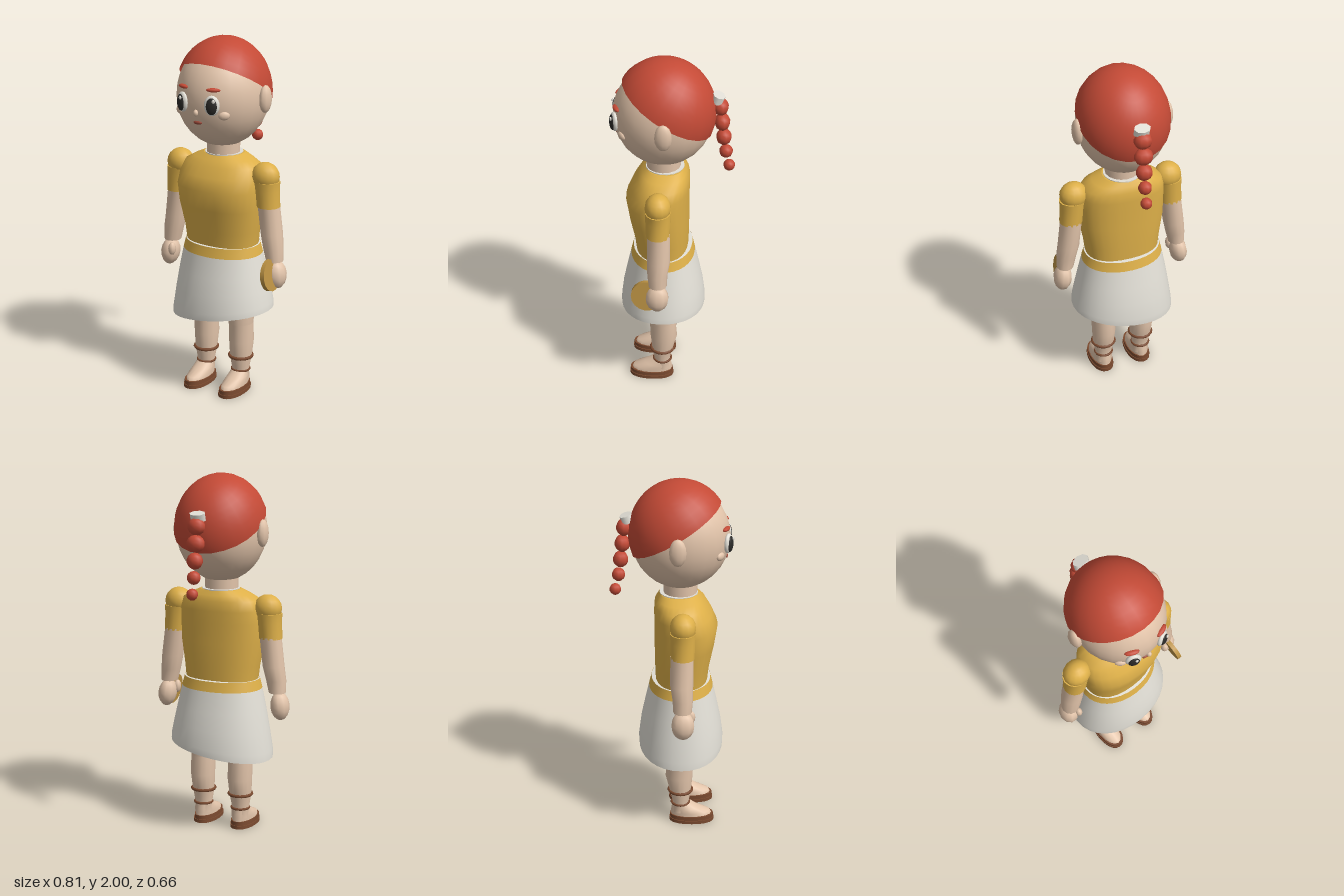
import * as THREE from 'three';

const mat = (name, color, side = THREE.FrontSide) => {
  const m = new THREE.MeshStandardMaterial({ color, side });
  m.name = name;
  return m;
};

// Lofted body: rows rise in y as [y, cx, cz, rx, rz]; slant(x, y) shifts y.
function loft(rows, { n = 20, power = 2, caps = true, slant = null } = {}) {
  const pos = [], idx = [];
  const sp = v => Math.sign(v) * Math.pow(Math.abs(v), 2 / power);
  const ring = ([y, cx, cz, rx, rz]) => {
    for (let j = 0; j < n; j++) {
      const a = (j / n) * Math.PI * 2;
      const x = cx + rx * sp(Math.cos(a));
      pos.push(x, slant ? y + slant(x, y) : y, cz + rz * sp(Math.sin(a)));
    }
  };
  rows.forEach(ring);
  for (let i = 0; i < rows.length - 1; i++) {
    for (let j = 0; j < n; j++) {
      const k = (j + 1) % n, a = i * n + j, b = i * n + k;
      idx.push(a, a + n, b, b, a + n, b + n);
    }
  }
  if (caps) {
    [rows[0], rows[rows.length - 1]].forEach((r, top) => {
      const s = pos.length / 3;
      ring(r);
      pos.push(r[1], r[0], r[2]);
      for (let j = 0; j < n; j++) {
        const k = (j + 1) % n;
        if (top) idx.push(s + n, s + k, s + j);
        else idx.push(s + n, s + j, s + k);
      }
    });
  }
  const g = new THREE.BufferGeometry();
  g.setAttribute('position', new THREE.Float32BufferAttribute(pos, 3));
  g.setIndex(idx);
  g.computeVertexNormals();
  return g;
}

export function createModel() {
  const model = new THREE.Group();
  model.name = 'girlFigure';
  const skin = mat('skin', 0xe2c4aa);
  const hair = mat('red hair', 0xc44a36, THREE.DoubleSide);
  const yellow = mat('yellow cloth', 0xdeb049, THREE.DoubleSide);
  const white = mat('white cloth', 0xe2dfd6, THREE.DoubleSide);
  const brown = mat('brown leather', 0x7c4b30);
  const gold = mat('dull gold', 0xbd9344);
  const dark = mat('dark iris', 0x2b2a28);
  const lip = mat('lip', 0x9a4a3a);

  const add = (name, geo, m, p = [0, 0, 0], r = [0, 0, 0], parent = model) => {
    const o = new THREE.Mesh(geo, m);
    o.name = name;
    o.position.set(...p);
    o.rotation.set(...r);
    parent.add(o);
    return o;
  };
  const ball = (name, m, p, s, r, w = 14, h = 10) => {
    const o = add(name, new THREE.SphereGeometry(1, w, h), m, p, r);
    o.scale.set(...s);
    return o;
  };

  // Head and tilted hair cap
  ball('head', skin, [0, 1.69, 0.045], [0.245, 0.282, 0.266], [0, 0, 0], 24, 16);
  const cap = new THREE.SphereGeometry(1, 24, 10, 0, Math.PI * 2, 0, 1.44);
  cap.rotateX(-0.52);
  cap.scale(0.256, 0.296, 0.275);
  add('hairCap', cap, hair, [0, 1.704, 0.04]);

  // Braid with its tie
  const braid = [[1.74, -0.255, 0.05], [1.65, -0.265, 0.052], [1.56, -0.275, 0.045],
    [1.472, -0.288, 0.037], [1.386, -0.307, 0.032]];
  braid.forEach(([y, z, r], i) =>
    ball('braidKnot' + (i + 1), hair, [0, y, z], [r, Math.min(r, 0.047), Math.min(r, 0.042)], [0, 0, 0], 9, 7));
  add('braidTie', new THREE.CylinderGeometry(0.045, 0.045, 0.04, 8), white, [0, 1.79, -0.24], [-0.3, 0, 0])
    .scale.z = 0.75;

  // Face
  ball('nose', skin, [0, 1.635, 0.307], [0.014, 0.018, 0.016], [0, 0, 0], 8, 6);
  ball('mouth', lip, [0, 1.58, 0.29], [0.027, 0.01, 0.01], [0.3, 0, 0], 10, 6);
  for (const s of [1, -1]) {
    const yaw = s * 0.4;
    const out = (d, dx, y) => [s * 0.09 + Math.sin(yaw) * d + Math.cos(yaw) * dx, y,
      0.291 + Math.cos(yaw) * d - Math.sin(yaw) * dx];
    ball('eyeWhite', white, out(0.004, 0, 1.682), [0.042, 0.054, 0.02], [0, yaw, 0]);
    ball('iris', dark, out(0.014, 0, 1.68), [0.031, 0.045, 0.016], [0, yaw, 0]);
    ball('eyeGlint', white, out(0.027, 0.012, 1.708), [0.009, 0.011, 0.006], [0, yaw, 0], 8, 6);
    ball('eyebrow', hair, [s * 0.093, 1.762, 0.283], [0.04, 0.011, 0.017], [0, yaw, 0], 10, 6);
    ball('cheek', skin, [s * 0.14, 1.626, 0.252], [0.031, 0.023, 0.016], [0, s * 0.65, 0], 10, 8);
    ball('ear', skin, [s * 0.252, 1.687, 0.028], [0.03, 0.075, 0.047], [0, 0, 0], 10, 8);
  }
  add('neck', new THREE.CylinderGeometry(0.092, 0.092, 0.13, 16), skin, [0, 1.405, 0.045]);

  // Shirt
  add('shirt', loft([
    [0.84, 0, 0.052, 0.206, 0.142], [0.95, 0, 0.056, 0.218, 0.15], [1.08, 0, 0.068, 0.242, 0.164],
    [1.19, 0, 0.077, 0.247, 0.172], [1.26, 0, 0.06, 0.243, 0.158], [1.315, 0, 0.045, 0.222, 0.14],
    [1.345, 0, 0.04, 0.17, 0.12], [1.37, 0, 0.035, 0.112, 0.1],
  ], { n: 28, power: 2.3 }), yellow);
  add('collar', new THREE.CylinderGeometry(0.105, 0.105, 0.006, 18), white, [0, 1.371, 0.037]);

  // Skirt with a slanted hem and yellow waistband
  const slant = (x, y) => Math.max(0, (0.78 - y) / 0.32) * 0.145 * x;
  const opt = { n: 32, power: 2.1, caps: false, slant };
  add('waistband', loft([[0.815, 0, 0.05, 0.232, 0.178], [0.87, 0, 0.05, 0.218, 0.164]], opt), yellow);
  add('skirt', loft([
    [0.46, 0, 0.05, 0.295, 0.236], [0.5, 0, 0.05, 0.293, 0.238], [0.6, 0, 0.05, 0.275, 0.225],
    [0.7, 0, 0.05, 0.256, 0.204], [0.815, 0, 0.05, 0.232, 0.178],
  ], opt), white);
  add('waistRim', loft([[0.869, 0, 0.05, 0.218, 0.164], [0.871, 0, 0.05, 0.2, 0.14]], opt), white);

  for (const s of [1, -1]) {
    // Arm
    const sleeve = [[1.11, 0.294, 0.055, 0.064, 0.064], [1.2, 0.286, 0.055, 0.067, 0.067],
      [1.25, 0.282, 0.055, 0.074, 0.068]];
    const arm = [[0.81, 0.337, 0.055, 0.047, 0.05], [0.88, 0.328, 0.056, 0.056, 0.055],
      [0.96, 0.314, 0.05, 0.06, 0.062], [1.12, 0.294, 0.052, 0.06, 0.062]];
    const side = rows => rows.map(([y, x, ...q]) => [y, s * x, ...q]);
    ball('sleevePuff', yellow, [s * 0.274, 1.275, 0.056], [0.079, 0.077, 0.07]);
    add('sleeve', loft(side(sleeve), { n: 14 }), yellow);
    add('arm', loft(side(arm), { n: 12 }), skin);
    ball('hand', skin, [s * 0.352, 0.735, 0.057], [0.051, 0.08, 0.064], [0, 0, s * 0.12], 10, 8);
    ball('thumb', skin, [s * 0.312, 0.765, 0.1], [0.021, 0.038, 0.025], [0, 0, 0], 8, 6);

    // Leg
    const x = s * 0.117;
    add('thigh', loft([[0.4, x, 0.047, 0.07, 0.074], [0.52, x, 0.05, 0.08, 0.085],
      [0.8, x * 0.9, 0.05, 0.09, 0.1]], { n: 16 }), skin);
    add('shin', loft([[0.06, x, 0.045, 0.05, 0.044], [0.12, x, 0.05, 0.05, 0.046],
      [0.2, x, 0.047, 0.063, 0.062], [0.29, x, 0.04, 0.068, 0.077],
      [0.41, x, 0.047, 0.069, 0.073]], { n: 16 }), skin);
    const strap = (name, y, r, t) =>
      add(name, new THREE.TorusGeometry(r, t, 6, 18), brown, [x, y, 0.048], [Math.PI / 2, 0, 0]);
    strap('calfStrap', 0.197, 0.065, 0.009);
    strap('ankleStrap', 0.115, 0.05, 0.007);

    // Foot on a two-layer sole
    add('foot', loft([[0.035, x, 0.11, 0.058, 0.118], [0.06, x, 0.105, 0.058, 0.112],
      [0.085, x, 0.075, 0.054, 0.077], [0.12, x, 0.05, 0.046, 0.046]], { n: 16 }), skin);
    [[0, 0.019, 0.068, 0.128], [0.019, 0.042, 0.063, 0.124]].forEach(([y0, y1, rx, rz]) =>
      add('sole', loft([[y0, x, 0.112, rx, rz], [y1, x, 0.112, rx, rz]], { n: 20, power: 2.2 }), brown));
  }

  // Small round disc held in the left hand
  add('handDisc', new THREE.CylinderGeometry(0.088, 0.088, 0.024, 18), gold,
    [0.346, 0.745, 0.112], [0, 0, Math.PI / 2 + 0.15]);

  return model;
}
